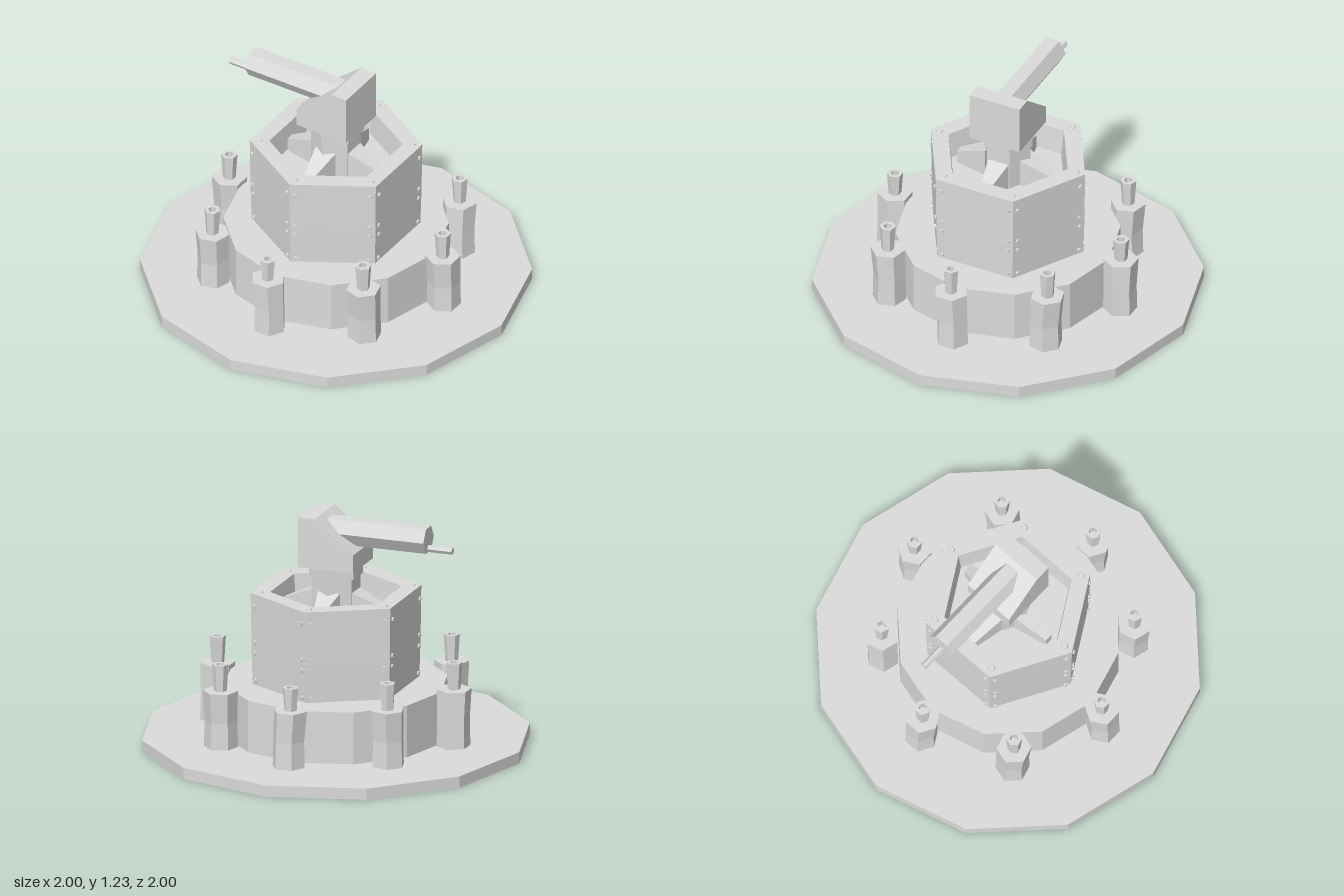
import * as THREE from 'three';

export function createModel() {
  const model = new THREE.Group();
  model.name = 'gunTurret';
  const grey = new THREE.MeshStandardMaterial({ color: 0xdbdbdb, flatShading: true, side: THREE.DoubleSide });
  grey.name = 'plain grey';

  const add = (name, geometry, parent = model) => {
    const mesh = new THREE.Mesh(geometry, grey);
    mesh.name = name;
    parent.add(mesh);
    return mesh;
  };
  // Faceted turned solid from [radius, height] pairs, first corner on +z
  const turned = (profile, sides) =>
    new THREE.LatheGeometry(profile.map(([r, y]) => new THREE.Vector2(r, y)), sides);

  // Base plate: a shell open underneath, with the drum's open foot poking through
  add('basePlate', turned([[1, 0], [1, 0.06], [0, 0.06]], 12));
  add('drum', turned([[0.575, 0.028], [0.575, 0.335], [0, 0.335]], 12));

  // Posts in a ring around the drum, open at the foot, each with a slight lean
  for (let k = 0; k < 8; k++) {
    const a = (k * Math.PI) / 4;
    const onZ = k % 4 === 0;
    const dx = onZ ? 0.01 : 0;
    const dz = onZ ? 0 : Math.cos(a) < -0.1 ? 0.01 : -0.01;
    const top = onZ ? 0.48 : 0.5;
    const geo = turned([[0.088, 0.035], [0.084, 0.2], [0.09, 0.36], [0.033, 0.36],
      [0.042, top], [0.022, top], [0.022, top - 0.05], [0, top - 0.05]], 6);
    geo.rotateY(a + Math.PI / 6);
    const p = geo.attributes.position;
    for (let i = 0; i < p.count; i++) {
      const lean = Math.max(0, Math.min(1, (0.36 - p.getY(i)) / 0.16));
      p.setX(i, p.getX(i) + dx * lean);
      p.setZ(i, p.getZ(i) + dz * lean);
    }
    add('post', geo).position.set(Math.sin(a) * 0.645, 0, Math.cos(a) * 0.645);
  }

  // Hollow hexagonal tower
  add('tower', turned([[0.43, 0.335], [0.436, 0.535], [0.44, 0.82], [0.34, 0.82],
    [0.324, 0.68], [0, 0.68]], 6));

  // Rivets on the tower walls, and bolts on its rim
  const rivet = new THREE.CylinderGeometry(0.011, 0.014, 0.02, 6).rotateX(Math.PI / 2);
  const bolt = new THREE.CylinderGeometry(0.016, 0.024, 0.016, 6);
  for (let k = 0; k < 6; k++) {
    const wall = new THREE.Group();
    wall.name = 'wallRivets';
    wall.rotation.y = ((k + 0.5) * Math.PI) / 3;
    model.add(wall);
    for (const y of [0.755, 0.562, 0.505, 0.358]) {
      const r = 0.43 + (y - 0.335) * 0.0206;
      for (const side of [-1, 1]) {
        add('rivet', rivet, wall).position.set(side * (r / 2 - 0.028), y, r * Math.cos(Math.PI / 6));
      }
    }
    const a = (k * Math.PI) / 3;
    add('rimBolt', bolt).position.set(Math.sin(a) * 0.39, 0.82, Math.cos(a) * 0.39);
  }

  // Central pillar with collar
  add('pillar', turned([[0.127, 0.68], [0.127, 0.9], [0.14, 0.9], [0.14, 0.96], [0, 0.96]], 6));

  // Four tapering buttresses around the pillar
  for (let k = 0; k < 4; k++) {
    const geo = new THREE.BoxGeometry(1, 1, 1);
    const p = geo.attributes.position;
    for (let i = 0; i < p.count; i++) {
      const outer = p.getZ(i) > 0;
      const top = p.getY(i) > 0;
      p.setXYZ(i, Math.sign(p.getX(i)) * (outer ? 0.022 : 0.06),
        top ? (outer ? 0.75 : 0.83) : 0.68, outer ? 0.28 : 0.1);
    }
    add('buttress', geo).rotation.y = (k * Math.PI) / 2;
  }

  // Gun head with a sloped face
  const side = new THREE.Shape([[-0.148, 0.96], [0.152, 0.96], [0.152, 1.225], [0.062, 1.225],
    [-0.148, 1.055]].map(([x, y]) => new THREE.Vector2(x, y)));
  add('gunHead', new THREE.ExtrudeGeometry(side, { depth: 0.284, bevelEnabled: false })
    .translate(0, 0, -0.142));

  // Barrel and muzzle, pointing to -x
  const rod = (r, x0, x1, y) => new THREE.CylinderGeometry(r, r, x1 - x0, 6)
    .rotateZ(Math.PI / 2).translate((x0 + x1) / 2, y, 0);
  add('barrel', rod(0.075, -0.505, 0.04, 1.138));
  add('muzzle', rod(0.019, -0.637, -0.48, 1.092));

  return model;
}
